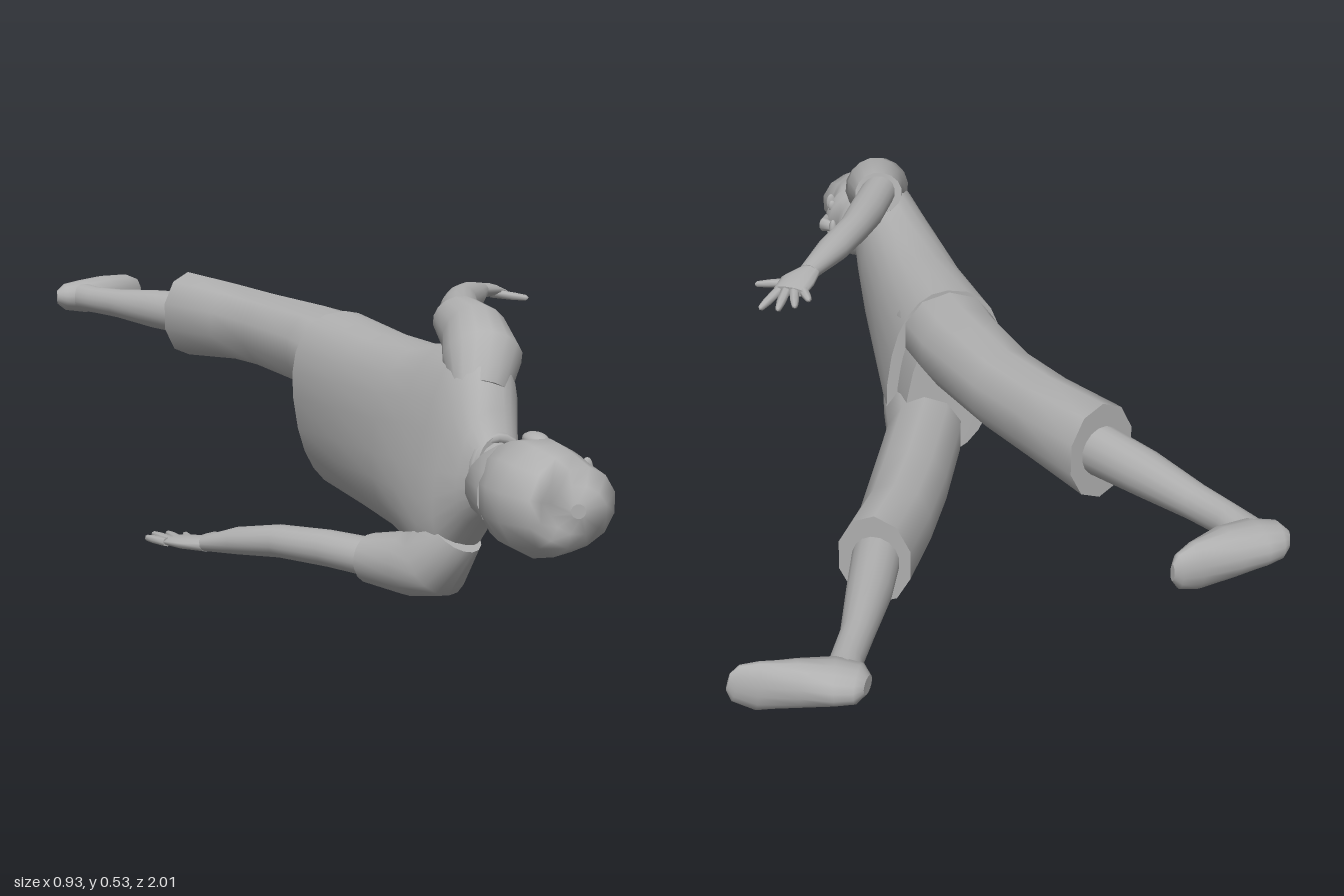
import * as THREE from 'three';

const grey = new THREE.MeshStandardMaterial({ color: 0xb0b0b0 });
grey.name = 'plain grey';

// Skin elliptical rings [x, y, z, halfDepth, halfWidth, roll] along a path, with flat end caps.
function loft(name, rings, n = 16, power = 1) {
  const pos = [], idx = [];
  const P = rings.map(r => new THREE.Vector3(r[0], r[1], r[2]));
  const bend = c => Math.sign(c) * Math.pow(Math.abs(c), power);
  rings.forEach((r, i) => {
    const t = P[Math.min(i + 1, P.length - 1)].clone().sub(P[Math.max(i - 1, 0)]).normalize();
    const v0 = new THREE.Vector3(0, 1, 0).addScaledVector(t, -t.y).normalize();
    const u0 = t.clone().cross(v0);
    const roll = r[5] || 0, c = Math.cos(roll), s = Math.sin(roll);
    const u = u0.clone().multiplyScalar(c).addScaledVector(v0, -s);
    const v = v0.clone().multiplyScalar(c).addScaledVector(u0, s);
    for (let j = 0; j < n; j++) {
      const a = (j + 0.5) / n * Math.PI * 2;
      const p = P[i].clone().addScaledVector(u, r[3] * bend(Math.cos(a))).addScaledVector(v, r[4] * bend(Math.sin(a)));
      pos.push(p.x, p.y, p.z);
    }
  });
  for (let i = 0; i < rings.length - 1; i++) {
    for (let j = 0; j < n; j++) {
      const a = i * n + j, b = i * n + (j + 1) % n;
      idx.push(a, a + n, b, b, a + n, b + n);
    }
  }
  for (const end of [0, rings.length - 1]) {
    const base = pos.length / 3;
    for (let j = 0; j < n; j++) pos.push(...pos.slice((end * n + j) * 3, (end * n + j) * 3 + 3));
    pos.push(...P[end].toArray());
    for (let j = 0; j < n; j++) {
      const a = base + j, b = base + (j + 1) % n;
      if (end === 0) idx.push(base + n, a, b); else idx.push(base + n, b, a);
    }
  }
  const g = new THREE.BufferGeometry();
  g.setAttribute('position', new THREE.Float32BufferAttribute(pos, 3));
  g.setIndex(idx);
  g.computeVertexNormals();
  const m = new THREE.Mesh(g, grey);
  m.name = name;
  return m;
}

function ball(name, x, y, z, sx, sy, sz) {
  const m = new THREE.Mesh(new THREE.SphereGeometry(1, 14, 10), grey);
  m.position.set(x, y, z);
  m.scale.set(sx, sy, sz);
  m.name = name;
  return m;
}

// Palm, four fingers and a thumb; each digit is [root, tip].
function hand(name, palm, digits) {
  const g = new THREE.Group();
  g.name = name;
  g.add(loft('palm', palm, 12));
  digits.forEach(([a, b], i) => {
    const mid = a.map((q, k) => q * 0.4 + b[k] * 0.6);
    const end = a.map((q, k) => q * 0.06 + b[k] * 0.94);
    g.add(loft(i === 4 ? 'thumb' : 'finger',
      [[...a, 0.010, 0.009], [...mid, 0.009, 0.008], [...end, 0.006, 0.006], [...b, 0.002, 0.002]], 7));
  });
  return g;
}

export function createModel() {
  const model = new THREE.Group();
  model.name = 'lyingFigure';

  // Shirt, twisted between shoulders and hips
  model.add(loft('shirt', [
    [-0.038, 0.275, 0.715, 0.045, 0.06, 0.1],
    [-0.045, 0.275, 0.68, 0.057, 0.10, 0.2],
    [-0.05, 0.28, 0.64, 0.07, 0.17, 0.2],
    [-0.052, 0.28, 0.59, 0.08, 0.2, 0.2],
    [-0.052, 0.275, 0.5, 0.09, 0.185, 0.18],
    [-0.052, 0.27, 0.4, 0.098, 0.172, 0.12],
    [-0.052, 0.265, 0.2, 0.105, 0.172, 0],
    [-0.055, 0.265, -0.01, 0.112, 0.182, -0.15]], 24, 0.85));
  model.add(loft('hips', [
    [-0.055, 0.265, 0.03, 0.095, 0.165, -0.15],
    [-0.042, 0.265, -0.09, 0.07, 0.15, -0.2]], 20, 0.85));

  // Neck and collar
  model.add(loft('neck', [
    [-0.045, 0.275, 0.66, 0.045, 0.056],
    [-0.04, 0.275, 0.73, 0.04, 0.048],
    [-0.03, 0.27, 0.8, 0.045, 0.05]]));
  const collar = new THREE.Mesh(new THREE.TorusGeometry(0.05, 0.009, 8, 20), grey);
  collar.position.set(-0.038, 0.275, 0.71);
  collar.scale.set(0.9, 1.12, 1);
  collar.name = 'collar';
  model.add(collar);

  // Head, facing +x with the crown towards +z
  model.add(loft('head', [
    [0.035, 0.27, 0.728, 0.018, 0.025],
    [0.025, 0.27, 0.74, 0.036, 0.045],
    [-0.01, 0.27, 0.77, 0.07, 0.066],
    [-0.034, 0.27, 0.81, 0.098, 0.077],
    [-0.037, 0.27, 0.86, 0.1, 0.083]], 20));
  model.add(loft('hair', [
    [-0.062, 0.27, 0.80, 0.06, 0.072],
    [-0.052, 0.27, 0.84, 0.087, 0.088],
    [-0.044, 0.27, 0.88, 0.097, 0.095],
    [-0.044, 0.27, 0.92, 0.093, 0.094],
    [-0.03, 0.27, 0.955, 0.088, 0.083],
    [-0.015, 0.27, 0.978, 0.075, 0.066],
    [-0.022, 0.27, 0.993, 0.045, 0.04],
    [-0.025, 0.27, 1.0, 0.012, 0.012]], 12));
  model.add(loft('nose', [
    [0.058, 0.27, 0.872, 0.008, 0.007],
    [0.07, 0.27, 0.835, 0.012, 0.011],
    [0.074, 0.27, 0.82, 0.013, 0.017],
    [0.06, 0.27, 0.808, 0.008, 0.012]], 8));
  model.add(ball('lips', 0.058, 0.27, 0.783, 0.009, 0.025, 0.009));
  for (const s of [-1, 1]) {
    model.add(ball('ear', -0.03, 0.27 + s * 0.085, 0.845, 0.02, 0.012, 0.032));
    model.add(ball('eye', 0.05, 0.27 + s * 0.033, 0.852, 0.009, 0.014, 0.007));
    model.add(ball('brow', 0.05, 0.27 + s * 0.034, 0.872, 0.011, 0.021, 0.006));
  }

  // Upper arm side (raised in y)
  model.add(loft('leftSleeve', [
    [-0.035, 0.39, 0.625, 0.05, 0.05],
    [-0.015, 0.445, 0.585, 0.07, 0.068],
    [-0.002, 0.472, 0.52, 0.06, 0.062],
    [0.005, 0.49, 0.43, 0.05, 0.044]]));
  model.add(loft('leftArm', [
    [0.0, 0.49, 0.45, 0.036, 0.036],
    [0.05, 0.49, 0.32, 0.037, 0.035],
    [0.09, 0.49, 0.23, 0.031, 0.032],
    [0.145, 0.487, 0.14, 0.032, 0.027],
    [0.205, 0.482, 0.045, 0.02, 0.016]]));
  model.add(hand('leftHand', [
    [0.2, 0.482, 0.05, 0.02, 0.015],
    [0.23, 0.478, 0.015, 0.036, 0.014],
    [0.25, 0.472, -0.02, 0.034, 0.01]], [
    [[0.225, 0.474, -0.01], [0.217, 0.468, -0.06]],
    [[0.241, 0.473, -0.015], [0.247, 0.464, -0.078]],
    [[0.257, 0.471, -0.015], [0.28, 0.46, -0.078]],
    [[0.271, 0.47, -0.008], [0.312, 0.455, -0.055]],
    [[0.24, 0.472, 0.025], [0.31, 0.462, 0.05]]]));

  // Lower arm side (resting on the ground)
  model.add(loft('rightSleeve', [
    [-0.075, 0.15, 0.62, 0.05, 0.05],
    [-0.1, 0.092, 0.585, 0.068, 0.068],
    [-0.125, 0.075, 0.53, 0.06, 0.058],
    [-0.17, 0.068, 0.45, 0.05, 0.045]]));
  model.add(loft('rightArm', [
    [-0.16, 0.07, 0.47, 0.037, 0.036],
    [-0.22, 0.068, 0.36, 0.036, 0.034],
    [-0.28, 0.06, 0.25, 0.032, 0.031],
    [-0.335, 0.042, 0.155, 0.03, 0.026],
    [-0.378, 0.022, 0.08, 0.02, 0.015]]));
  model.add(hand('rightHand', [
    [-0.376, 0.022, 0.085, 0.02, 0.015],
    [-0.398, 0.018, 0.045, 0.034, 0.013],
    [-0.412, 0.013, 0.005, 0.034, 0.01]], [
    [[-0.436, 0.012, 0.01], [-0.463, 0.009, -0.05]],
    [[-0.423, 0.012, 0.005], [-0.443, 0.009, -0.075]],
    [[-0.407, 0.012, 0.005], [-0.415, 0.009, -0.07]],
    [[-0.39, 0.012, 0.008], [-0.385, 0.01, -0.045]],
    [[-0.385, 0.016, 0.04], [-0.327, 0.012, -0.02]]]));

  // Trouser legs
  model.add(loft('leftTrouserLeg', [
    [-0.06, 0.355, 0.05, 0.095, 0.085],
    [-0.075, 0.36, -0.1, 0.088, 0.085],
    [-0.12, 0.365, -0.3, 0.075, 0.08],
    [-0.165, 0.37, -0.43, 0.07, 0.082],
    [-0.23, 0.37, -0.575, 0.07, 0.092]], 10));
  model.add(loft('rightTrouserLeg', [
    [-0.025, 0.18, 0.05, 0.085, 0.08],
    [0.0, 0.175, -0.1, 0.075, 0.08],
    [0.06, 0.17, -0.28, 0.074, 0.08],
    [0.11, 0.17, -0.42, 0.069, 0.084],
    [0.168, 0.168, -0.54, 0.07, 0.09]], 10));

  // Calves and shoes
  model.add(loft('leftCalf', [
    [-0.2, 0.37, -0.52, 0.045, 0.05],
    [-0.285, 0.37, -0.67, 0.04, 0.042],
    [-0.34, 0.37, -0.78, 0.031, 0.032],
    [-0.375, 0.37, -0.85, 0.028, 0.03],
    [-0.395, 0.37, -0.91, 0.034, 0.032]]));
  model.add(loft('leftShoe', [
    [-0.452, 0.37, -0.925, 0.016, 0.015],
    [-0.435, 0.37, -0.922, 0.038, 0.03],
    [-0.395, 0.37, -0.925, 0.05, 0.037],
    [-0.34, 0.37, -0.945, 0.045, 0.042],
    [-0.28, 0.367, -0.973, 0.026, 0.043],
    [-0.25, 0.365, -0.983, 0.016, 0.032],
    [-0.24, 0.365, -0.986, 0.006, 0.015]]));
  model.add(loft('rightCalf', [
    [0.155, 0.17, -0.5, 0.045, 0.048],
    [0.195, 0.17, -0.65, 0.04, 0.042],
    [0.235, 0.172, -0.78, 0.029, 0.031],
    [0.265, 0.173, -0.86, 0.028, 0.028],
    [0.278, 0.173, -0.91, 0.034, 0.03]]));
  model.add(loft('rightShoe', [
    [0.24, 0.173, -0.932, 0.02, 0.015],
    [0.253, 0.173, -0.925, 0.042, 0.03],
    [0.29, 0.173, -0.912, 0.05, 0.036],
    [0.35, 0.172, -0.905, 0.035, 0.042],
    [0.415, 0.174, -0.905, 0.021, 0.045],
    [0.45, 0.182, -0.903, 0.014, 0.034],
    [0.462, 0.185, -0.902, 0.005, 0.016]]));

  return model;
}
